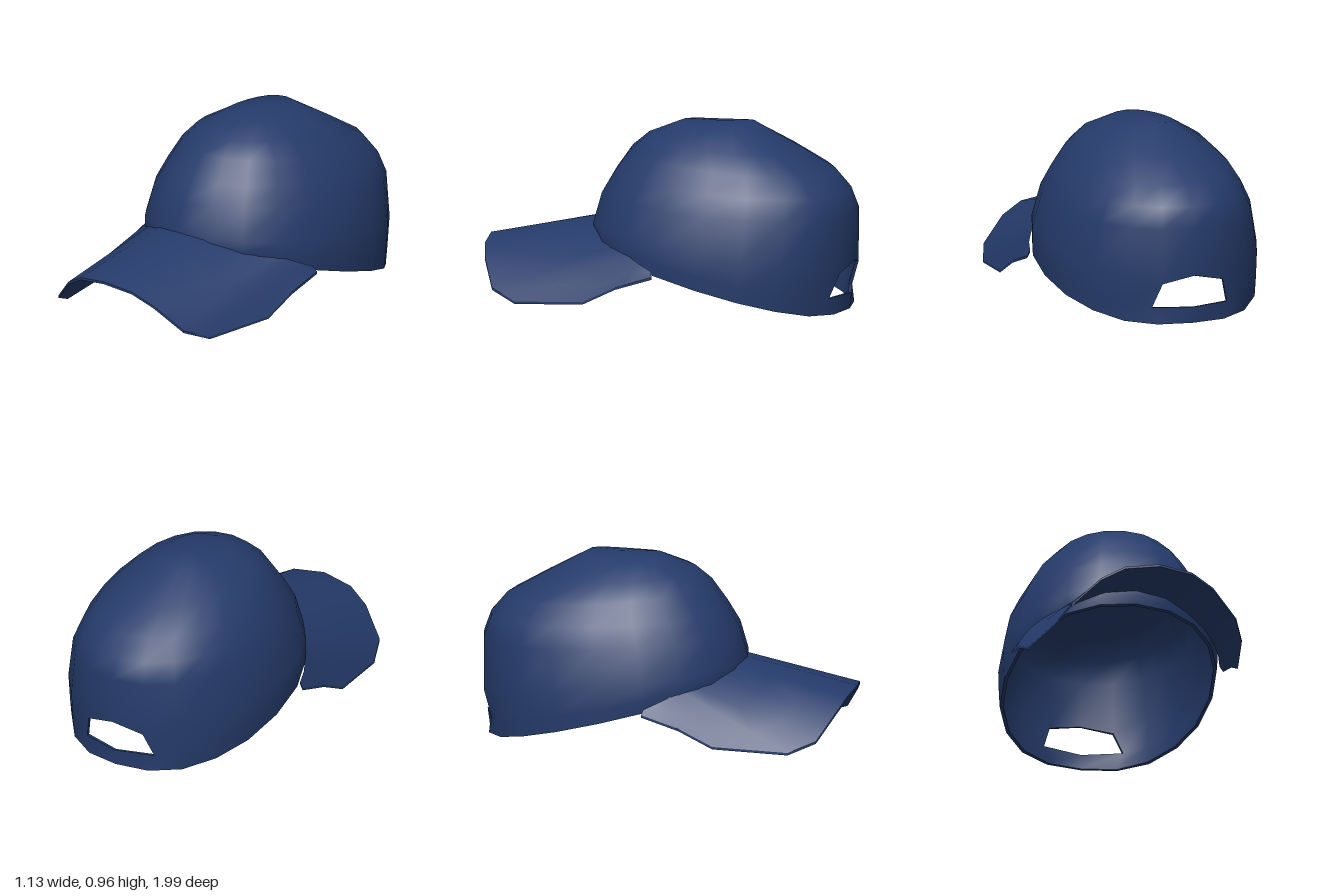
import * as THREE from 'three';
import { mergeVertices } from 'three/addons/utils/BufferGeometryUtils.js';

const navy = new THREE.MeshStandardMaterial({ color: 0x253b6b });
navy.name = 'navy cloth';

// Skin a grid of points (rows of [x, y, z]); skip(i, j) leaves a hole
function skin(rows, { flat = false, skip = () => false } = {}) {
  const n = rows[0].length, index = [];
  for (let i = 0; i < rows.length - 1; i++)
    for (let j = 0; j < n - 1; j++) {
      if (skip(i, j)) continue;
      const a = i * n + j, b = a + 1, d = a + n, c = d + 1;
      index.push(a, b, c, a, c, d);
    }
  let g = new THREE.BufferGeometry();
  g.setAttribute('position', new THREE.Float32BufferAttribute(rows.flat(2), 3));
  g.setIndex(index);
  g = flat ? g.toNonIndexed() : mergeVertices(g, 1e-5);
  g.computeVertexNormals();
  return g;
}

function add(group, name, geometry) {
  const mesh = new THREE.Mesh(geometry, navy);
  mesh.name = name;
  group.add(mesh);
}

// Crown rings: [front z, front y, back z, back y, half width, drop at the sides]
const RINGS = [
  [0.405, 0.34, -0.965, 0, 0.558, 0],
  [0.41, 0.38, -0.977, 0.088, 0.562, 0],
  [0.412, 0.43, -0.995, 0.26, 0.563, 0],
  [0.37, 0.58, -0.995, 0.51, 0.52, 0],
  [0.305, 0.69, -0.955, 0.62, 0.467, 0],
  [0.22, 0.81, -0.87, 0.72, 0.4, 0],
  [0.13, 0.885, -0.68, 0.83, 0.31, 0],
  [-0.04, 0.955, -0.44, 0.965, 0.17, 0.02],
  [-0.26, 0.965, -0.26, 0.965, 0, 0],
];
const SIDES = 20, BACK = SIDES / 2;
const power = (v) => Math.sign(v) * Math.abs(v) ** 0.93;

// Point on the crown, moved inwards by t
function crownPoint(i, j, t) {
  const [zf, yf, zb, yb, w, drop] = RINGS[i];
  const a = (j % SIDES) / SIDES * Math.PI * 2;
  const s = power(Math.sin(a)), c = power(Math.cos(a));
  let x = s * Math.max(0, w - t);
  let z = (zf + zb) / 2 + c * Math.max(0, (zf - zb) / 2 - t);
  let y = yb + (yf - yb) * (c + 1) / 2 - drop * s * s - t * i / (RINGS.length - 1);
  if (i === 0) y = Math.max(0, 0.22 + 0.26 * (z + 0.05));
  // Corners of the back opening
  if (Math.abs(j - BACK) === 1) {
    if (i === 1) { x = Math.sign(x) * 0.212; y = 0.088; z = -0.915 + t; }
    if (i === 2) { x = Math.sign(x) * 0.17; y = 0.22; }
  }
  return [x, y, z];
}

function makeCrown() {
  const crown = new THREE.Group();
  crown.name = 'crown';
  const shell = (t) => RINGS.map((_, i) =>
    Array.from({ length: SIDES + 1 }, (_, j) => crownPoint(i, j, t)));
  const outer = shell(0), inner = shell(0.018);
  const skip = (i, j) => i === 1 && (j === BACK - 1 || j === BACK);
  add(crown, 'crownOutside', skin(outer, { skip }));
  add(crown, 'crownLining', skin(inner.map((r) => [...r].reverse()), { skip }));
  add(crown, 'crownRim', skin([inner[0], outer[0]], { flat: true }));
  // Cloth edge round the back opening
  const loop = [[1, 9], [1, 10], [1, 11], [2, 11], [2, 10], [2, 9], [1, 9]];
  const edge = (s) => loop.map(([i, j]) => s[i][j]);
  add(crown, 'openingEdge', skin([edge(outer), edge(inner)], { flat: true }));
  return crown;
}

// Half of the brim, from the middle to the model's left
const SEAM = [
  [0, 0.425, 0.41], [0.16, 0.41, 0.385], [0.29, 0.365, 0.34], [0.4, 0.325, 0.25],
  [0.45, 0.31, 0.18], [0.49, 0.295, 0.1], [0.525, 0.27, 0.03], [0.545, 0.245, -0.04],
];
const LIP = [
  [0, 0.297, 0.997], [0.18, 0.275, 0.977], [0.3, 0.215, 0.94], [0.44, 0.09, 0.86],
  [0.5, 0.035, 0.72], [0.563, 0.065, 0.33], [0.566, 0.155, 0.15], [0.566, 0.22, -0.05],
];
const mirror = (half) => [
  ...half.slice(1).reverse().map(([x, y, z]) => [-x, y, z]), ...half,
];

function makeBrim() {
  const brim = new THREE.Group();
  brim.name = 'brim';
  const seam = mirror(SEAM), lip = mirror(LIP), thick = 0.013;
  const row = (t) => seam.map((p, j) => p.map((v, k) => v + (lip[j][k] - v) * t));
  const lower = (r) => r.map(([x, y, z]) => [x, y - thick, z]);
  const top = [1, 0.66, 0.33, -0.04].map(row);
  add(brim, 'brimTop', skin(top));
  add(brim, 'brimUnderside', skin([...top].reverse().map(lower)));
  // Outer edge with both ends
  const back = top[3];
  const rim = [back[0], ...top[0], back[back.length - 1]];
  add(brim, 'brimEdge', skin([lower(rim), rim], { flat: true }));
  return brim;
}

export function createModel() {
  const cap = new THREE.Group();
  cap.name = 'cap';
  cap.add(makeCrown(), makeBrim());
  return cap;
}
